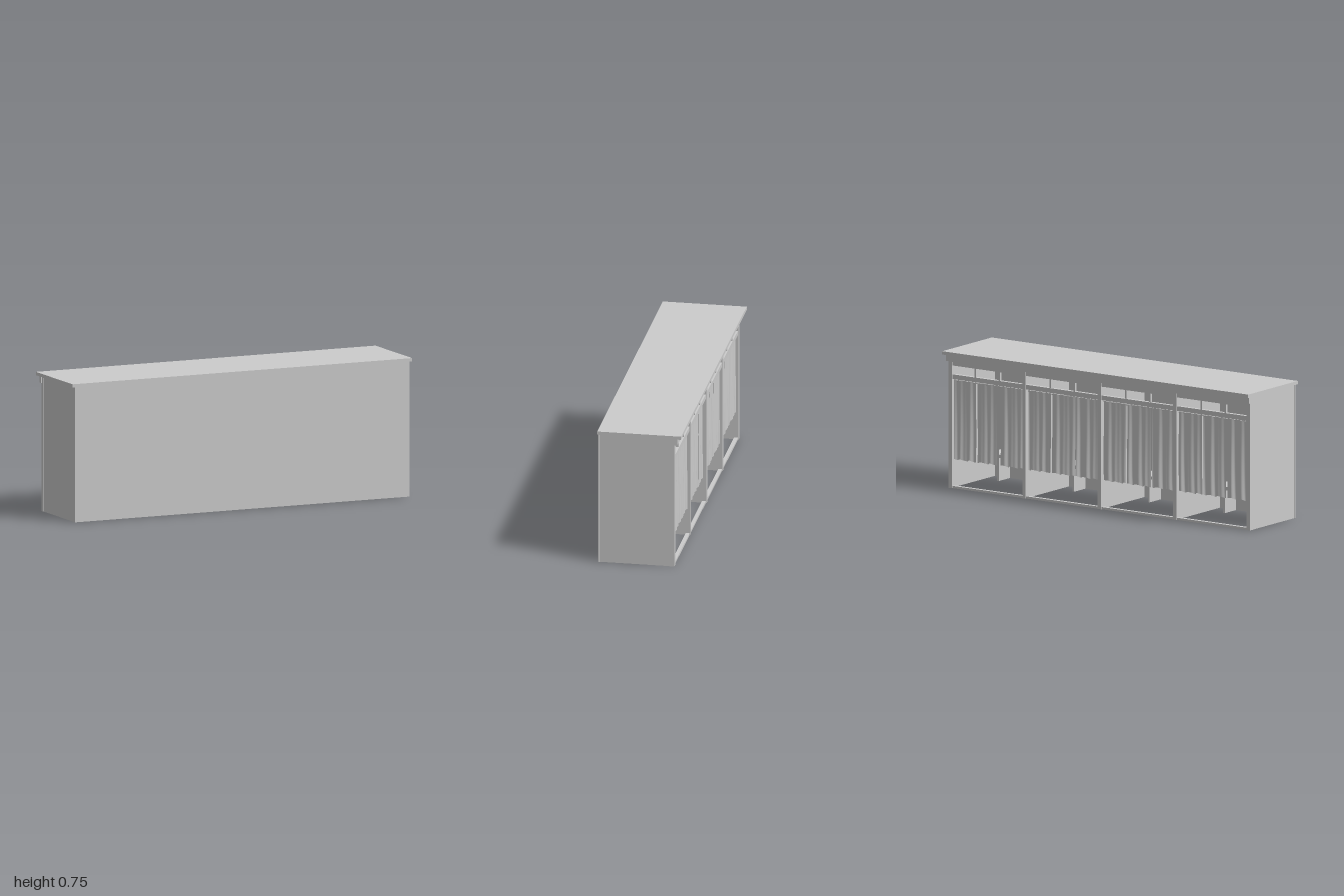
import * as THREE from 'three';

const BAYS = 4;
const HALF = 0.985;            // half width of the cabinet
const PITCH = (2 * HALF) / BAYS;
const POST = 0.022;            // width of the uprights

const grey = new THREE.MeshStandardMaterial({ color: 0xcccccc });
const cloth = new THREE.MeshStandardMaterial({ color: 0xcccccc, side: THREE.DoubleSide });

// Box given by its minimum and maximum on each axis
function box(parent, name, [x0, x1], [y0, y1], [z0, z1]) {
  const mesh = new THREE.Mesh(new THREE.BoxGeometry(x1 - x0, y1 - y0, z1 - z0), grey);
  mesh.position.set((x0 + x1) / 2, (y0 + y1) / 2, (z0 + z1) / 2);
  mesh.name = name;
  parent.add(mesh);
  return mesh;
}

// Hanging cloth: folds deepen downwards and the hem dips with them
function curtainPanel(width, top, bottom, phase) {
  const height = top - bottom;
  const geo = new THREE.PlaneGeometry(width, height, 36, 10);
  const p = geo.attributes.position;
  for (let i = 0; i < p.count; i++) {
    const u = p.getX(i) / width + 0.5;
    const down = 0.5 - p.getY(i) / height;
    const fold = Math.sin(u * Math.PI * 5 + phase) + 0.4 * Math.sin(u * Math.PI * 9 + phase * 2.3);
    p.setZ(i, fold * (0.0025 + 0.004 * down));
    p.setX(i, p.getX(i) + 0.002 * down * Math.sin(phase * 3 + down * 4));
    p.setY(i, p.getY(i) - 0.004 * down * fold);
  }
  geo.computeVertexNormals();
  const mesh = new THREE.Mesh(geo, cloth);
  mesh.name = 'curtainPanel';
  mesh.position.y = (top + bottom) / 2;
  return mesh;
}

// One bay, centred on x = 0: transom, curtains, rod and bench
function createBay(index) {
  const bay = new THREE.Group();
  bay.name = 'bay';
  const w = PITCH / 2 - POST / 2;
  const zFrame = [-0.183, -0.163];

  // Frame rails and the transom dividers
  box(bay, 'bottomRail', [-w, w], [0, 0.012], zFrame);
  box(bay, 'headerRail', [-w, w], [0.665, 0.727], zFrame);
  box(bay, 'transomRail', [-w, w], [0.592, 0.617], zFrame);
  for (const s of [-1, 1]) {
    const x = (s * w) / 3;
    box(bay, 'transomDivider', [x - 0.005, x + 0.005], [0.617, 0.665], [-0.18, -0.166]);
  }

  // Curtain rod and three cloth panels
  const rod = new THREE.Mesh(new THREE.CylinderGeometry(0.004, 0.004, 2 * w, 10), grey);
  rod.name = 'curtainRod';
  rod.rotation.z = Math.PI / 2;
  rod.position.set(0, 0.582, -0.163);
  bay.add(rod);
  const panelW = (2 * w) / 3;
  for (let k = -1; k <= 1; k++) {
    const panel = curtainPanel(panelW - 0.007, 0.586, 0.155, index * 1.7 + k * 2.1);
    panel.position.x = k * panelW;
    panel.position.z = -0.168;
    bay.add(panel);
  }

  // Bench against the closed front wall
  box(bay, 'benchSeat', [-0.2, 0.2], [0.13, 0.148], [0.095, 0.217]);
  for (const s of [-1, 1]) {
    const x = s * 0.14;
    box(bay, 'benchSupport', [x - 0.006, x + 0.006], [0, 0.13], [0.115, 0.217]);
  }
  return bay;
}

export function createModel() {
  const model = new THREE.Group();
  model.name = 'curtainedBooths';

  // Shell
  box(model, 'topSlab', [-1, 1], [0.727, 0.745], [-0.225, 0.228]);
  box(model, 'frontPanel', [-HALF, HALF], [0, 0.727], [0.217, 0.227]);
  box(model, 'corniceTrim', [-0.99, 0.99], [0.69, 0.727], [-0.203, -0.182]);

  // Side panels, partitions and the uprights that cap them
  for (let i = 0; i <= BAYS; i++) {
    const x = -HALF + i * PITCH;
    const edge = i === 0 ? 1 : i === BAYS ? -1 : 0;
    const cx = x + (edge * POST) / 2;
    const px = x + edge * 0.008;
    box(model, edge ? 'sidePanel' : 'partition', [px - 0.006, px + 0.006], [0, 0.727], [-0.16, 0.217]);
    box(model, 'upright', [cx - POST / 2, cx + POST / 2], [0, 0.727], [-0.187, -0.16]);
  }

  for (let i = 0; i < BAYS; i++) {
    const bay = createBay(i);
    bay.position.x = -HALF + (i + 0.5) * PITCH;
    model.add(bay);
  }
  return model;
}
